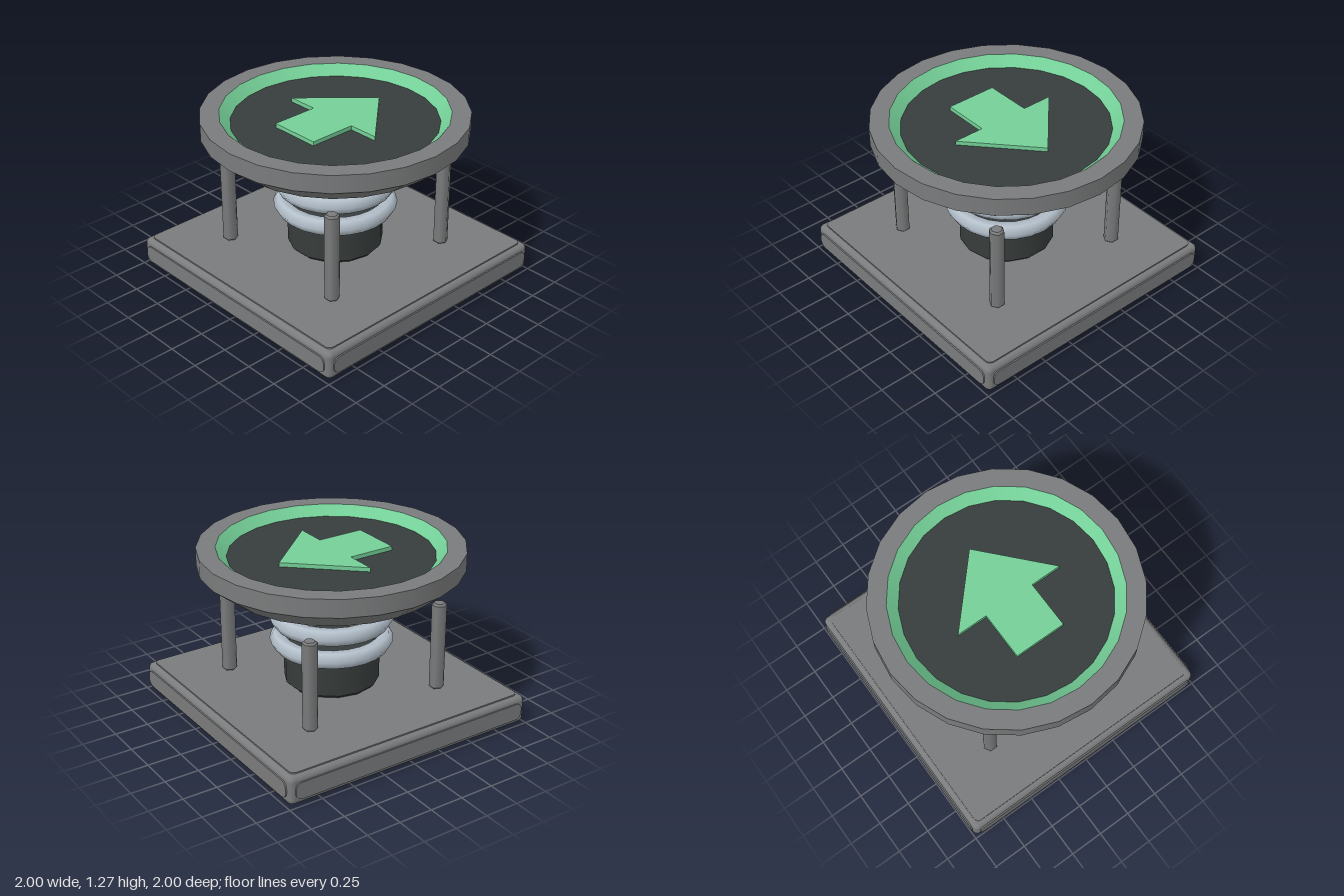
import * as THREE from 'three';
import { mergeGeometries } from 'three/addons/utils/BufferGeometryUtils.js';
import { RoundedBoxGeometry } from 'three/addons/geometries/RoundedBoxGeometry.js';

const material = (name, color) => {
  const m = new THREE.MeshStandardMaterial({ color });
  m.name = name;
  return m;
};

// Turned solid: smooth around the axis, crisp between profile bands (bottom to top)
function turned(profile, sides, start = 0) {
  const bands = [];
  for (let i = 0; i < profile.length - 1; i++) {
    const pair = [profile[i], profile[i + 1]].map(([r, y]) => new THREE.Vector2(r, y));
    bands.push(new THREE.LatheGeometry(pair, sides, start));
  }
  return mergeGeometries(bands);
}

// Closed profile of a cylinder with chamfered ends
const chamfered = (r, y0, y1, c) =>
  [[0, y0], [r - c, y0], [r, y0 + c], [r, y1 - c], [r - c, y1], [0, y1]];

// Thin rounded plate lying in xy and extruded along +z
function plate(w, h, r, depth) {
  const x = w / 2, y = h / 2, s = new THREE.Shape();
  s.absarc(x - r, y - r, r, 0, Math.PI / 2);
  s.absarc(-x + r, y - r, r, Math.PI / 2, Math.PI);
  s.absarc(-x + r, -y + r, r, Math.PI, Math.PI * 1.5);
  s.absarc(x - r, -y + r, r, Math.PI * 1.5, Math.PI * 2);
  return new THREE.ExtrudeGeometry(s, { depth, bevelEnabled: false, curveSegments: 4 });
}

export function createModel() {
  const grey = material('grey metal', 0x7a7b7c);
  const dark = material('dark rubber', 0x373d3c);
  const steel = material('spring steel', 0xb4c0cb);
  const green = material('green paint', 0x74cf97);

  const model = new THREE.Group();
  model.name = 'springPad';
  const add = (name, geometry, mat, parent = model) => {
    const mesh = new THREE.Mesh(geometry, mat);
    mesh.name = name;
    parent.add(mesh);
    return mesh;
  };

  // Base block with a raised plate on every face
  const base = new THREE.Group();
  base.name = 'base';
  base.position.y = 0.115;
  model.add(base);
  add('baseBlock', new RoundedBoxGeometry(1.98, 0.21, 1.98, 3, 0.04), grey, base);
  const sidePlate = plate(1.9, 0.125, 0.05, 0.015).translate(0, 0, 0.985);
  for (let i = 0; i < 4; i++) add('sidePlate', sidePlate, grey, base).rotation.y = i * Math.PI / 2;
  const facePlate = plate(1.9, 1.9, 0.04, 0.015).translate(0, 0, 0.1);
  for (const s of [-1, 1]) add(s < 0 ? 'topPlate' : 'bottomPlate', facePlate, grey, base).rotation.x = s * Math.PI / 2;

  // Four guide posts
  const post = turned(chamfered(0.0535, 0.225, 0.89, 0.014), 6, Math.PI / 2);
  for (const x of [-0.54, 0.54])
    for (const z of [-0.54, 0.54]) add('guidePost', post, grey).position.set(x, 0, z);

  // Hub and spring coils
  add('hub', turned(chamfered(0.345, 0.225, 0.505, 0.03), 14, Math.PI / 2), dark);
  const coil = new THREE.TorusGeometry(0.381, 0.0635, 6, 24).rotateX(Math.PI / 2);
  for (const y of [0.563, 0.736, 0.91]) add('springCoil', coil, steel).position.y = y;

  // Dish: grey shell, green inner slope, dark core forming floor and underside
  add('dishShell', turned([[0.77, 1.005], [0.94, 1.14], [0.94, 1.27], [0.805, 1.27]], 24), grey);
  add('dishSlope', turned([[0.805, 1.27], [0.72, 1.19]], 24), green);
  add('dishCore', turned([[0, 1.005], [0.77, 1.005]], 24), dark);
  add('dishFloor', turned([[0.735, 1.2], [0, 1.2]], 24), dark);

  // Raised arrow pointing to the back
  const arrow = new THREE.Shape([
    [0, 0.43], [-0.42, -0.03], [-0.19, -0.03], [-0.19, -0.38],
    [0.19, -0.38], [0.19, -0.03], [0.42, -0.03],
  ].map(([x, y]) => new THREE.Vector2(x, y)));
  const arrowGeometry = new THREE.ExtrudeGeometry(arrow, { depth: 0.035, bevelEnabled: false });
  add('arrow', arrowGeometry.rotateX(-Math.PI / 2), green).position.y = 1.195;

  return model;
}
